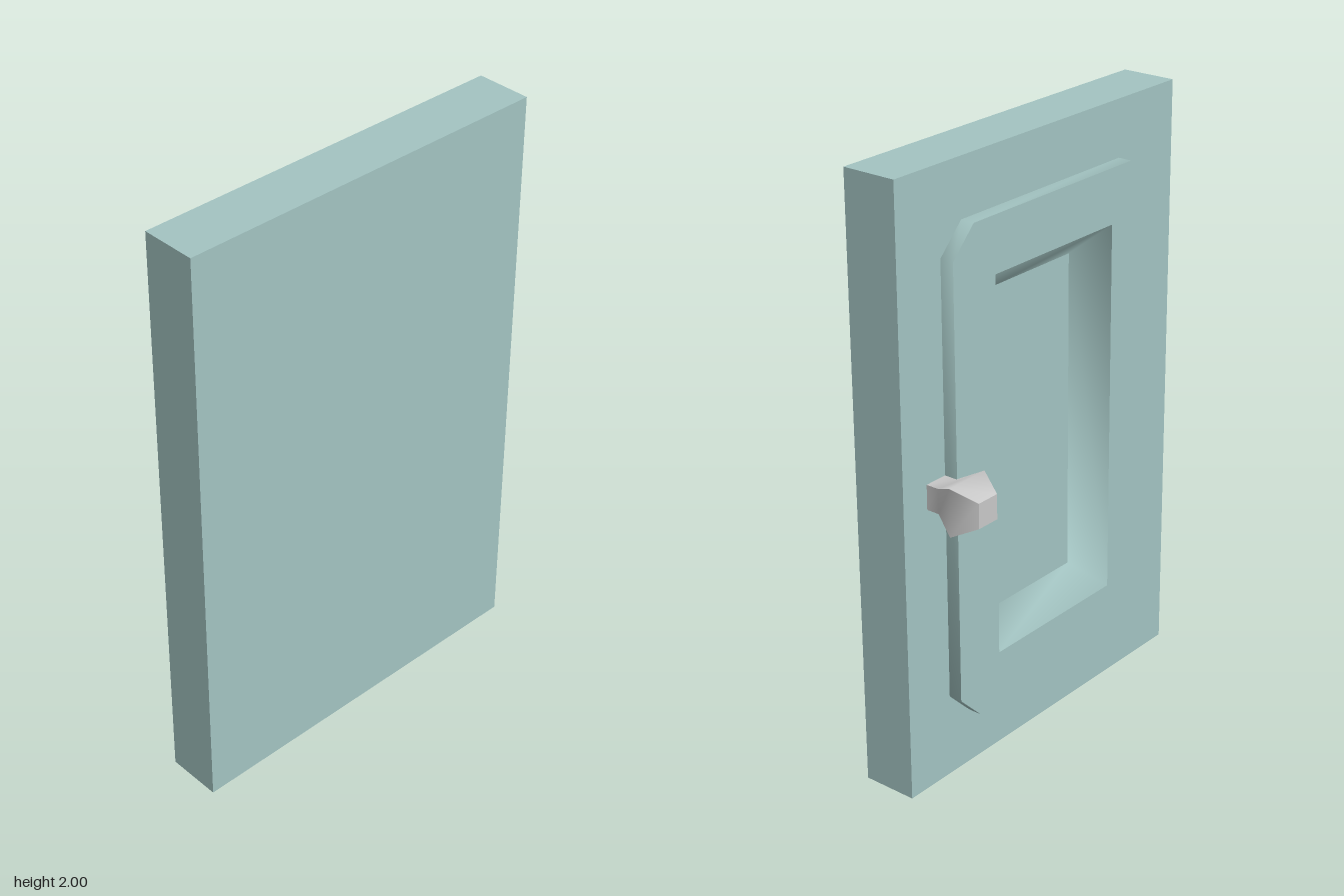
import * as THREE from 'three';
import { toCreasedNormals } from 'three/addons/utils/BufferGeometryUtils.js';

const CREASE = THREE.MathUtils.degToRad(65);
const KNOB_CREASE = THREE.MathUtils.degToRad(58);

// Rectangular loop with cut corners at depth x, counterclockwise seen from -x
function loop([halfZ, halfY, cut, x]) {
  const w = halfZ, h = halfY, c = cut;
  return [
    [-w + c, -h], [w - c, -h], [w, -h + c], [w, h - c],
    [w - c, h], [-w + c, h], [-w, h - c], [-w, -h + c],
  ].map(([z, y]) => [x, y + 1, z]);
}

// Strip of faces joining two loops, smooth around its corners
function band(from, to) {
  const a = loop(from), b = loop(to), n = a.length, index = [];
  for (let i = 0; i < n; i++) {
    const j = (i + 1) % n;
    index.push(i, j, n + j, i, n + j, n + i);
  }
  const geo = new THREE.BufferGeometry();
  geo.setAttribute('position', new THREE.Float32BufferAttribute([...a, ...b].flat(), 3));
  geo.setIndex(index);
  return toCreasedNormals(geo, CREASE);
}

export function createModel() {
  const group = new THREE.Group();
  group.name = 'door';

  const paint = new THREE.MeshStandardMaterial({ color: 0xa3c4c2 });
  paint.name = 'dusty teal paint';
  const metal = new THREE.MeshStandardMaterial({ color: 0xc8c8c8 });
  metal.name = 'grey metal';

  const add = (name, geo, mat) => {
    const mesh = new THREE.Mesh(geo, mat);
    mesh.name = name;
    group.add(mesh);
  };

  // Door cross-sections from the plain face to the recessed panel:
  // [half depth, half height, corner cut, x, name of the strip leading to it]
  const sections = [
    [0, 0, 0, 0.193],
    [0.65, 1, 0, 0.193, 'plainFace'],
    [0.65, 1, 0, 0.007, 'slabEdges'],
    [0.465, 0.812, 0.092, 0.007, 'panelSurround'],
    [0.465, 0.812, 0.092, -0.04, 'mouldingEdge'],
    [0.28, 0.63, 0, -0.04, 'mouldingFace'],
    [0.19, 0.54, 0, 0.058, 'recessSlopes'],
    [0, 0, 0, 0.058, 'recessPanel'],
  ];
  for (let i = 1; i < sections.length; i++) {
    add(sections[i][4], band(sections[i - 1], sections[i]), paint);
  }

  // Square-sectioned knob on a short neck: [half width, distance along the axis]
  const profile = [[0.041, 0], [0.041, 0.045], [0.079, 0.122], [0.041, 0.201], [0, 0.201]]
    .map(([r, d]) => new THREE.Vector2(r * Math.SQRT2, d));
  const knob = new THREE.LatheGeometry(profile, 4, Math.PI / 4);
  knob.rotateZ(Math.PI / 2).translate(0.008, 1, -0.506);
  add('doorKnob', toCreasedNormals(knob, KNOB_CREASE), metal);

  return group;
}
